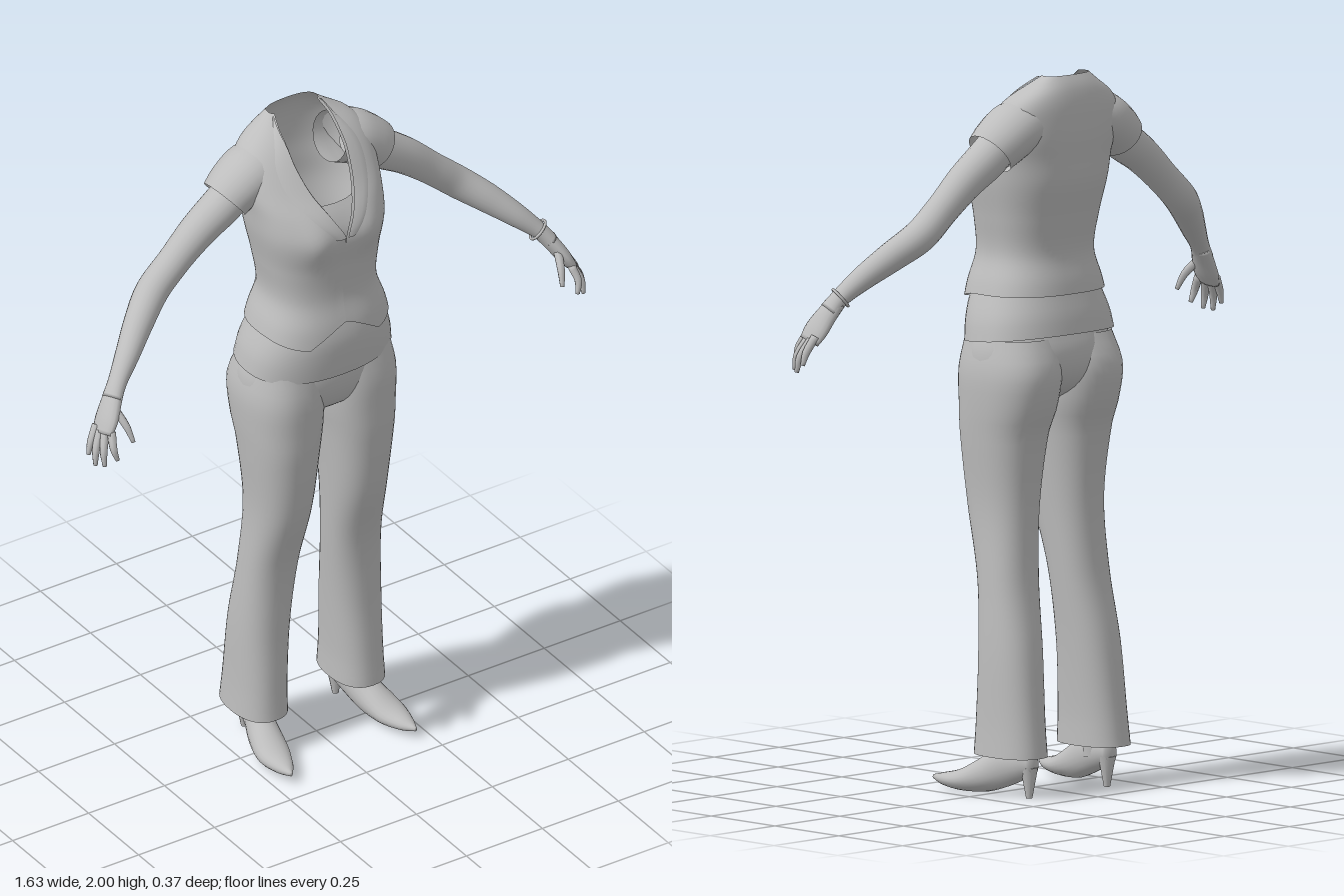
import * as THREE from 'three';

const fabric = new THREE.MeshStandardMaterial({ color: 0xbdbdbd, side: THREE.DoubleSide });
fabric.name = 'plain grey';
const TAU = Math.PI * 2;
const V = (x, y, z) => new THREE.Vector3(x, y, z);

function addMesh(parent, name, geometry) {
  const m = new THREE.Mesh(geometry, fabric);
  m.name = name;
  parent.add(m);
  return m;
}

// Skin a list of point rows; closed wraps each row, caps fan the ends shut.
function skin(rows, closed = true, caps = false) {
  const n = rows[0].length, pos = [], idx = [];
  rows.forEach(r => r.forEach(p => pos.push(p.x, p.y, p.z)));
  const cols = closed ? n : n - 1;
  for (let i = 0; i < rows.length - 1; i++) for (let j = 0; j < cols; j++) {
    const k = (j + 1) % n, a = i * n + j, b = i * n + k, c = a + n, d = b + n;
    idx.push(a, c, b, b, c, d);
  }
  if (caps) [0, rows.length - 1].forEach((i, end) => {
    const c = rows[i].reduce((s, p) => s.add(p), V(0, 0, 0)).divideScalar(n);
    const ci = pos.length / 3;
    pos.push(c.x, c.y, c.z);
    for (let j = 0; j < n; j++) {
      const a = i * n + j, b = i * n + (j + 1) % n;
      idx.push(ci, end ? b : a, end ? a : b);
    }
  });
  const g = new THREE.BufferGeometry();
  g.setAttribute('position', new THREE.Float32BufferAttribute(pos, 3));
  g.setIndex(idx);
  g.computeVertexNormals();
  return g;
}

// Smooth lookup in a table whose first column is a descending height.
function lookup(table, y) {
  const last = table.length - 1;
  let i = 0;
  while (i < last - 1 && y < table[i + 1][0]) i++;
  const a = table[i], b = table[i + 1], p = table[Math.max(i - 1, 0)], q = table[Math.min(i + 2, last)];
  const h = b[0] - a[0], t = THREE.MathUtils.clamp((y - a[0]) / h, 0, 1);
  return a.map((v, k) => {
    const m0 = (b[k] - p[k]) / (b[0] - p[0]) * h, m1 = (q[k] - v) / (q[0] - a[0]) * h;
    return v + m0 * t + (3 * (b[k] - v) - 2 * m0 - m1) * t * t + (m0 + m1 - 2 * (b[k] - v)) * t * t * t;
  });
}

// Point on a rounded-square ring; angle 0 faces front.
function ringPoint(cx, rx, zf, zb, y, a, p = 0.85) {
  const bend = v => Math.sign(v) * Math.abs(v) ** p;
  return V(cx + rx * bend(Math.sin(a)), y, (zf + zb) / 2 + (zf - zb) / 2 * bend(Math.cos(a)));
}

// Upright loft; rows are [y, centre x, half width, front z, back z].
function upright(table, steps, hem = () => 0, sides = 40) {
  const top = table[0][0], low = table[table.length - 1][0], rows = [];
  for (let i = 0; i <= steps; i++) {
    const y = top + (low - top) * i / steps, [, cx, rx, zf, zb] = lookup(table, y);
    rows.push(Array.from({ length: sides }, (_, j) => {
      const a = j / sides * TAU;
      return ringPoint(cx, rx, zf, zb, y + hem(a) * i / steps, a);
    }));
  }
  return skin(rows);
}

// Limb loft; stations are [x, y, z, radius across, radius along ref].
function limb(stations, ref, steps = 24, sides = 18, caps = true) {
  const path = new THREE.CatmullRomCurve3(stations.map(s => V(s[0], s[1], s[2])));
  const size = new THREE.CatmullRomCurve3(stations.map(s => V(s[3], s[4], 0)));
  const rows = [];
  for (let i = 0; i <= steps; i++) {
    const t = i / steps, c = path.getPoint(t), r = size.getPoint(t), d = path.getTangent(t);
    const n1 = d.clone().cross(ref).normalize(), n2 = n1.clone().cross(d);
    rows.push(Array.from({ length: sides }, (_, j) => {
      const a = j / sides * TAU;
      return c.clone().addScaledVector(n1, Math.cos(a) * r.x).addScaledVector(n2, Math.sin(a) * r.y);
    }));
  }
  return skin(rows, true, caps);
}

// Waistcoat profile: y, half width, front z, back z, half width of the neck opening
const VEST = [
  [2.0, .08, -.09, -.155, .07], [1.975, .115, -.055, -.17, .08], [1.94, .17, -.015, -.18, .082],
  [1.9, .2, .02, -.185, .082], [1.83, .208, .075, -.187, .065], [1.77, .2, .122, -.183, .034],
  [1.7, .193, .148, -.178, 0], [1.6, .175, .138, -.155, 0], [1.5, .165, .135, -.14, 0],
  [1.42, .19, .152, -.156, 0], [1.36, .206, .158, -.165, 0],
];
function vestPoint(y, a, off = 0) {
  const [, w, zf, zb] = lookup(VEST, y);
  const p = ringPoint(0, w + off, zf + off, zb - off, y, a, 0.8);
  // Bust
  if (Math.cos(a) > 0) p.z += .014 * Math.exp(-(((y - 1.71) / .07) ** 2) - ((Math.abs(p.x) - .085) / .05) ** 2);
  return p;
}
function openingAngle(y) {
  const r = lookup(VEST, y);
  return Math.asin(Math.min(1, Math.max(0, r[4]) / r[1]) ** 1.25);
}

function buildTop(g) {
  // Waistcoat with V neck and pointed front hem
  const hem = a => {
    const d = Math.min(a, TAU - a);
    return d < .5 ? 1.43 - .13 * d : Math.min(1.39, 1.365 + .03 * (d - .5));
  };
  const rows = [];
  for (let i = 0; i <= 44; i++) rows.push(Array.from({ length: 65 }, (_, j) => {
    const f = j / 64, y = 2 - i / 44 * (2 - hem(f * TAU)), a0 = openingAngle(y);
    return vestPoint(y, a0 + f * (TAU - 2 * a0));
  }));
  addMesh(g, 'waistcoat', skin(rows, false));

  // Lapels lying along the neck opening
  for (const s of [1, -1]) {
    const strip = [];
    for (let i = 0; i <= 20; i++) {
      const t = i / 20, y = 1.998 - .29 * t, a0 = openingAngle(y);
      const w = .1 + .24 * Math.sin(Math.PI * Math.min(1, t * .95 + .05));
      strip.push([0, .5, 1].map(f => vestPoint(y, s * (a0 + f * w), f === 1 ? .002 : .009)));
    }
    addMesh(g, 'lapel', skin(strip, false));
  }

  // Camisole seen inside the neckline
  const chest = [];
  for (let i = 0; i <= 8; i++) chest.push(Array.from({ length: 17 }, (_, j) => {
    const a = (j / 8 - 1) * 1.1, top = 1.79 + .06 * Math.min(1, a * a * 2);
    return vestPoint(top + (1.66 - top) * i / 8, a, -.014);
  }));
  addMesh(g, 'camisole', skin(chest, false));

  // Shirt tail below the waistcoat
  addMesh(g, 'shirtTail', upright([
    [1.46, 0, .16, .12, -.135], [1.38, 0, .195, .142, -.153],
    [1.32, 0, .218, .142, -.168], [1.265, 0, .229, .136, -.176],
  ], 10, a => -.016 * Math.cos(a), 48));
}

function buildArm(g) {
  const Z = V(0, 0, 1);
  // Cap sleeve
  addMesh(g, 'sleeve', limb([
    [.1, 1.875, -.085, .07, .08], [.165, 1.855, -.085, .077, .088],
    [.215, 1.825, -.083, .073, .083], [.25, 1.797, -.08, .068, .074],
  ], Z, 14, 24, false));
  // Bare arm
  addMesh(g, 'arm', limb([
    [.18, 1.85, -.08, .055, .058], [.25, 1.79, -.078, .057, .058], [.34, 1.73, -.075, .052, .052],
    [.43, 1.655, -.07, .046, .046], [.5, 1.595, -.062, .046, .047], [.57, 1.54, -.022, .042, .042],
    [.64, 1.48, .025, .033, .035], [.695, 1.427, .058, .024, .029], [.72, 1.395, .072, .023, .033],
  ], Z, 40, 20));
  // Palm
  addMesh(g, 'palm', limb([
    [.7, 1.42, .06, .022, .028], [.725, 1.385, .075, .022, .036],
    [.75, 1.345, .09, .02, .043], [.77, 1.312, .1, .014, .038],
  ], Z, 12, 16));
  // Fingers and thumb: root, knuckle, tip
  const digits = [
    ['indexFinger', [.757, 1.325, .125], [.765, 1.285, .148], [.757, 1.25, .156]],
    ['middleFinger', [.767, 1.318, .108], [.786, 1.272, .13], [.788, 1.232, .139]],
    ['ringFinger', [.772, 1.318, .09], [.797, 1.27, .108], [.803, 1.228, .115]],
    ['littleFinger', [.772, 1.328, .073], [.797, 1.286, .083], [.808, 1.25, .087]],
    ['thumb', [.728, 1.375, .1], [.715, 1.335, .137], [.706, 1.292, .158]],
  ];
  for (const [name, a, b, c] of digits)
    addMesh(g, name, limb([[...a, .012, .013], [...b, .0105, .011], [...c, .006, .006]], Z, 8, 8));
}

function buildLeg(g) {
  // Trouser leg
  addMesh(g, 'trouserLeg', upright([
    [1.27, .107, .108, .113, -.145], [1.18, .117, .117, .127, -.178], [1.08, .119, .113, .125, -.163],
    [1.0, .122, .103, .122, -.135], [.8, .124, .085, .097, -.11], [.6, .136, .08, .045, -.117],
    [.4, .15, .077, .032, -.152], [.2, .158, .074, .038, -.175], [.115, .16, .077, .043, -.185],
  ], 40));
  // Ankle, pointed shoe and slim heel
  const ankle = addMesh(g, 'ankle', new THREE.CylinderGeometry(.042, .036, .2, 16));
  ankle.position.set(.153, .18, -.085);
  addMesh(g, 'shoe', limb([
    [.205, .032, .185, .005, .006], [.2, .03, .145, .027, .018], [.192, .034, .08, .047, .031],
    [.177, .053, .01, .046, .048], [.162, .08, -.05, .038, .055],
    [.153, .093, -.105, .034, .047], [.149, .096, -.15, .02, .03],
  ], V(0, 1, 0), 28, 20));
  const heel = addMesh(g, 'heel', new THREE.CylinderGeometry(.025, .009, .085, 12));
  heel.position.set(.15, .0425, -.133);
}

export function createModel() {
  const model = new THREE.Group();
  model.name = 'dressedFigure';
  buildTop(model);

  // Trouser seat joining the legs
  addMesh(model, 'trouserSeat', upright([
    [1.29, 0, .21, .115, -.145], [1.23, 0, .227, .122, -.162], [1.17, 0, .224, .113, -.158],
    [1.12, 0, .18, .085, -.125], [1.08, 0, .06, .02, -.06],
  ], 14));

  // Mirrored limbs
  for (const [name, build] of [['Arm', buildArm], ['Leg', buildLeg]]) {
    const left = new THREE.Group();
    build(left);
    const right = left.clone();
    left.name = 'left' + name;
    right.name = 'right' + name;
    right.scale.x = -1;
    model.add(left, right);
  }

  // Bracelet on the left wrist
  const bracelet = addMesh(model, 'bracelet', new THREE.TorusGeometry(.031, .004, 8, 28));
  bracelet.position.set(.692, 1.43, .056);
  bracelet.quaternion.setFromUnitVectors(V(0, 0, 1), V(.62, -.64, .38).normalize());
  return model;
}
